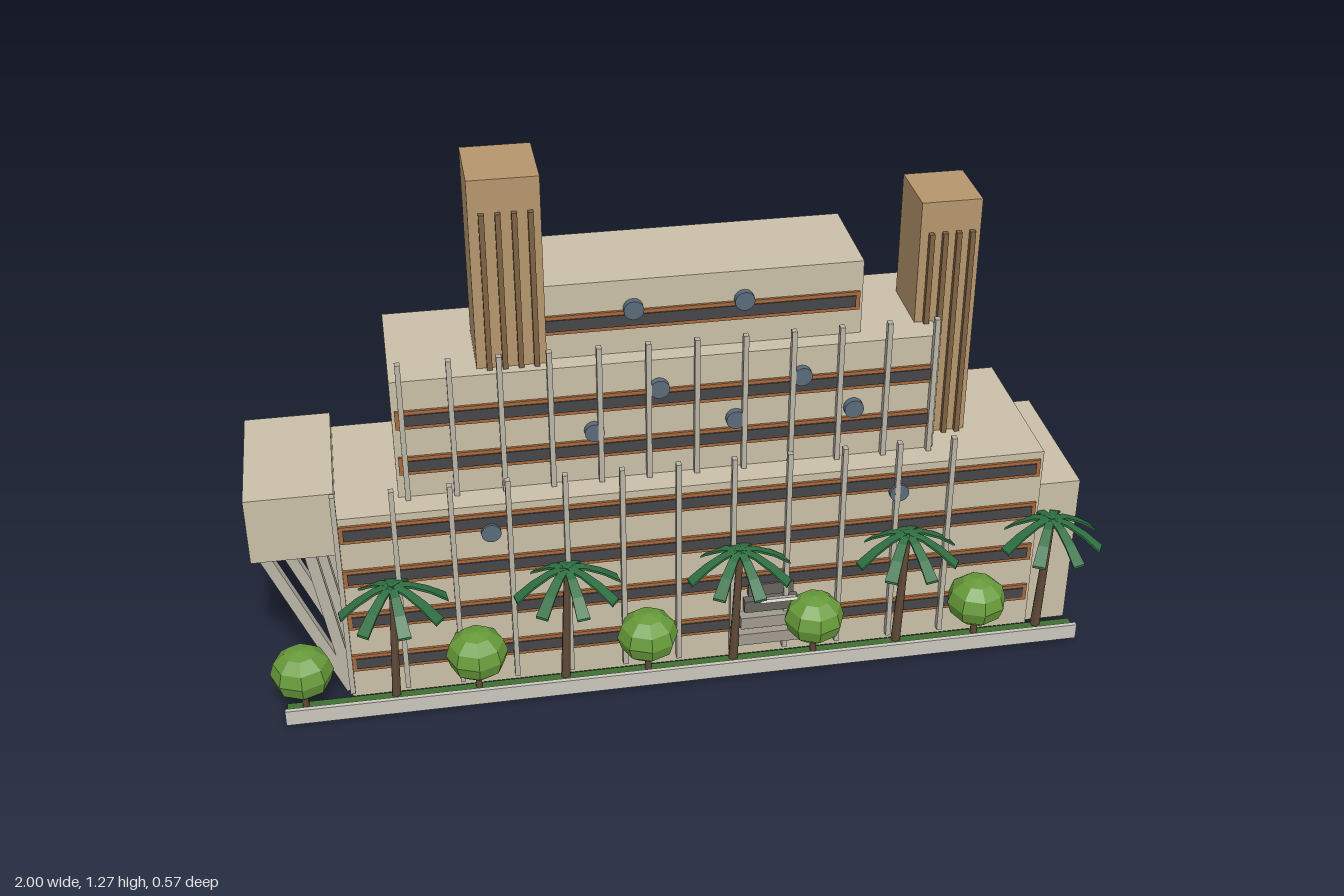
import * as THREE from 'three';

const mat = (color, flatShading = false, side = THREE.FrontSide) =>
  new THREE.MeshStandardMaterial({ color, flatShading, side });

export function createModel() {
  const root = new THREE.Group();
  const stone = mat(0xcabfa8), brown = mat(0xb5966d), rib = mat(0x7d6242);
  const frame = mat(0xa8693a), glass = mat(0x46464a), finMat = mat(0xbab4a6);
  const concrete = mat(0xc8c6bc), grey = mat(0xa09a8e), dark = mat(0x66645e);
  const discMat = mat(0x5a6b7a), hedgeMat = mat(0x3f7030), bark = mat(0x5f4a38);
  const leaf = mat(0x679a3a, true), palmLeaf = mat(0x2f6f42, true, THREE.DoubleSide);

  const add = (name, geometry, material, parent = root) => {
    const mesh = new THREE.Mesh(geometry, material);
    mesh.name = name;
    parent.add(mesh);
    return mesh;
  };
  // Box given by its extents on each axis
  const box = (name, [x0, x1], [y0, y1], [z0, z1], material, parent) => {
    const m = add(name, new THREE.BoxGeometry(x1 - x0, y1 - y0, z1 - z0), material, parent);
    m.position.set((x0 + x1) / 2, (y0 + y1) / 2, (z0 + z1) / 2);
    return m;
  };
  // Square bar between two points
  const beam = (name, a, b, t, material, parent) => {
    const p = new THREE.Vector3(...a), q = new THREE.Vector3(...b);
    const m = add(name, new THREE.BoxGeometry(t, p.distanceTo(q), t), material, parent);
    m.position.copy(p).lerp(q, 0.5);
    m.quaternion.setFromUnitVectors(new THREE.Vector3(0, 1, 0), q.sub(p).normalize());
    return m;
  };

  // Main stepped building volumes
  box('lowerBlock', [-0.805, 0.855], [0.01, 0.515], [-0.284, 0.12], stone);
  box('middleBlock', [-0.657, 0.6], [0.51, 0.817], [-0.268, 0.053], stone);
  box('upperBlock', [-0.33, 0.422], [0.81, 1.0], [-0.242, 0.008], stone);
  box('sideWing', [0.85, 0.958], [0.01, 0.415], [-0.27, 0.11], stone);
  box('overhangingWing', [-1, -0.8], [0.4, 0.567], [-0.262, 0.092], stone);

  // Raking struts under the overhanging wing
  const struts = new THREE.Group();
  struts.name = 'struts';
  root.add(struts);
  for (const z of [0.076, -0.082, -0.238])
    for (const topX of [-0.97, -0.868])
      beam('strut', [topX, 0.41, z], [-0.805, 0.006, z], 0.026, finMat, struts);

  // Towers with vertical ribs on the front
  const tower = (x0, x1, top, z0, z1, ribTop) => {
    const g = new THREE.Group();
    g.name = 'tower';
    root.add(g);
    box('towerShaft', [x0, x1], [0.01, top], [z0, z1], brown, g);
    for (let i = 0; i < 4; i++) {
      const x = x0 + (x1 - x0) * (0.18 + 0.225 * i);
      box('towerRib', [x - 0.006, x + 0.006], [0.5, ribTop], [z1 - 0.005, z1 + 0.013], rib, g);
    }
  };
  tower(-0.46, -0.303, 1.272, -0.155, 0.024, 1.195);
  tower(0.556, 0.697, 1.12, -0.175, -0.016, 1.045);

  // Framed window bands
  const band = (x0, x1, y, z) => {
    const g = new THREE.Group();
    g.name = 'windowBand';
    root.add(g);
    box('windowFrame', [x0, x1], [y - 0.023, y + 0.023], [z - 0.01, z + 0.006], frame, g);
    box('windowGlass', [x0 + 0.01, x1 - 0.01], [y - 0.014, y + 0.014], [z - 0.01, z + 0.009], glass, g);
  };
  for (const y of [0.11, 0.231, 0.352, 0.473]) band(-0.798, 0.847, y, 0.12);
  for (const y of [0.6, 0.72]) band(-0.65, 0.595, y, 0.053);
  band(-0.322, 0.415, 0.903, 0.008);

  // Vertical fins rising past the roof edges
  const fins = (count, x0, step, y0, y1, z) => {
    for (let i = 0; i < count; i++) {
      const x = x0 + step * i;
      box('facadeFin', [x - 0.006, x + 0.006], [y0, y1], [z, z + 0.016], finMat);
    }
  };
  fins(12, -0.803, 0.13, 0.03, 0.585, 0.121);
  fins(12, -0.635, 0.111, 0.515, 0.867, 0.054);

  // Round facade discs
  const discs = [
    [-0.105, 0.93, 0.008], [0.147, 0.93, 0.008], [-0.055, 0.747, 0.053],
    [0.275, 0.747, 0.053], [-0.205, 0.648, 0.053], [0.122, 0.648, 0.053],
    [0.4, 0.648, 0.053], [-0.456, 0.447, 0.12], [0.502, 0.447, 0.12],
  ];
  for (const [x, y, z] of discs) {
    const d = add('facadeDisc', new THREE.CylinderGeometry(0.023, 0.023, 0.018, 16), discMat);
    d.rotation.x = Math.PI / 2;
    d.position.set(x, y, z + 0.007);
  }

  // Entrance steps and tilted canopy
  for (let i = 0; i < 4; i++) {
    const w = 0.085 - 0.01 * i, y = 0.065 + 0.042 * i;
    box('entranceStep', [0.2 - w, 0.2 + w], [y, y + 0.032], [0.11, 0.158 - 0.008 * i], i < 2 ? grey : dark);
  }
  const canopy = box('entranceCanopy', [0.16, 0.25], [0.21, 0.218], [0.165, 0.205], concrete);
  canopy.rotation.x = -0.5;

  // Planter wall and hedge
  box('planterWall', [-0.96, 0.957], [0.01, 0.05], [0.19, 0.201], concrete);
  box('hedge', [-0.955, 0.952], [0.01, 0.038], [0.156, 0.186], hedgeMat);

  // Round trees
  for (let i = 0; i < 5; i++) {
    const tree = new THREE.Group();
    tree.name = 'roundTree';
    tree.position.set(-0.912 + 0.404 * i, 0, 0.168);
    root.add(tree);
    add('treeTrunk', new THREE.CylinderGeometry(0.007, 0.009, 0.08, 6), bark, tree).position.y = 0.06;
    const crown = add('treeCrown', new THREE.SphereGeometry(0.073, 8, 6), leaf, tree);
    crown.scale.y = 0.86;
    crown.position.y = 0.137;
  }

  // One palm frond: a bent strip running out and down along +x
  const frondGeometry = () => {
    const g = new THREE.BoxGeometry(0.125, 0.006, 0.028, 3, 1, 1);
    const p = g.attributes.position;
    for (let i = 0; i < p.count; i++) {
      const x = p.getX(i) + 0.0625, t = x / 0.125;
      p.setX(i, x);
      p.setY(i, p.getY(i) - 0.062 * Math.pow(t, 1.7));
      p.setZ(i, p.getZ(i) * (0.6 + 0.5 * t));
    }
    g.computeVertexNormals();
    return g;
  };
  // Palms with slightly leaning trunks
  [-0.69, -0.29, 0.116, 0.52, 0.875].forEach((x, k) => {
    const palm = new THREE.Group();
    palm.name = 'palm';
    palm.position.set(x, 0, 0.16);
    root.add(palm);
    const trunk = add('palmTrunk', new THREE.CylinderGeometry(0.008, 0.012, 0.33, 6), bark, palm);
    trunk.position.set(-0.006, 0.185, 0.003);
    trunk.rotation.z = -0.04;
    for (let i = 0; i < 8; i++) {
      const frond = add('palmFrond', frondGeometry(), palmLeaf, palm);
      frond.position.y = 0.35;
      frond.rotation.y = i * Math.PI / 4 + 0.15 + 0.03 * k;
    }
  });

  return root;
}
